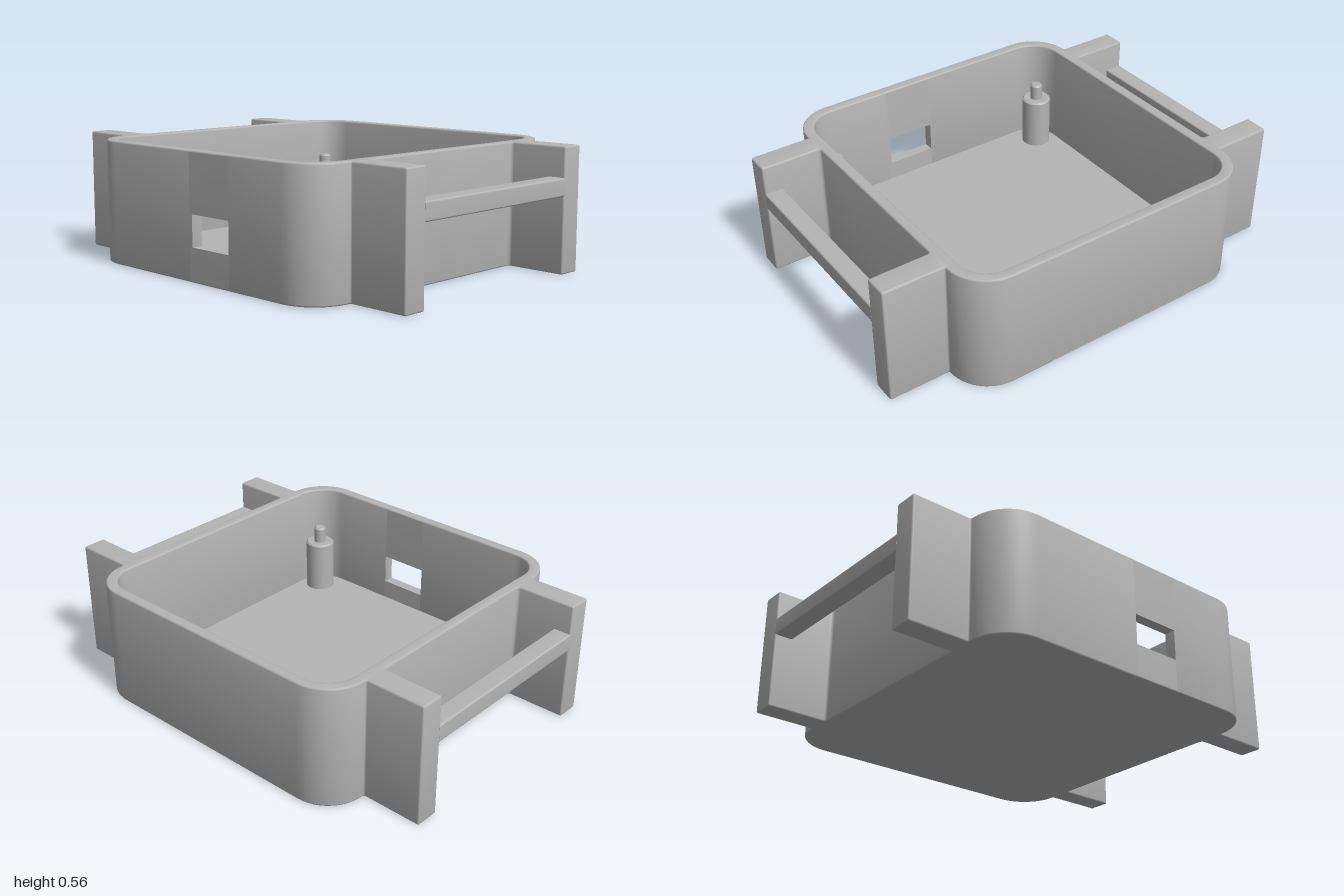
import * as THREE from 'three';
import { toCreasedNormals } from 'three/addons/utils/BufferGeometryUtils.js';

const H = 0.555, FLOOR = 0.06, E = 0.008; // height, floor thickness, edge rounding
const X = 0.76, Z = 0.72, IX = 0.71, IZ = 0.67; // outer and inner half sizes
const WIN = { z0: 0, z1: 0.23, y0: 0.15, y1: 0.29 }; // port opening

// Closed shape from [x, y, radius] points with right-angled, rounded corners
function roundedShape(points) {
  const shape = new THREE.Shape();
  const n = points.length;
  const toward = (p, q, d) => {
    const l = Math.hypot(q[0] - p[0], q[1] - p[1]);
    return [p[0] + (q[0] - p[0]) * d / l, p[1] + (q[1] - p[1]) * d / l];
  };
  points.forEach((p, i) => {
    const prev = points[(i + n - 1) % n], next = points[(i + 1) % n];
    const r = p[2] || 0;
    const a = toward(p, prev, r), b = toward(p, next, r);
    if (i === 0) shape.moveTo(...a); else shape.lineTo(...a);
    if (r) {
      const k = r * 0.4477;
      shape.bezierCurveTo(...toward(p, prev, k), ...toward(p, next, k), ...b);
    }
  });
  shape.closePath();
  return shape;
}

function extrude(points, depth, bevel = 0) {
  return new THREE.ExtrudeGeometry(roundedShape(points), {
    depth: depth - 2 * bevel, curveSegments: 12, bevelEnabled: bevel > 0,
    bevelThickness: bevel, bevelSize: bevel, bevelOffset: -bevel, bevelSegments: 3,
  }).translate(0, 0, bevel);
}

// Smooth the rounded corners, keep hard edges (scaled up for vertex matching)
function smooth(g) {
  return toCreasedNormals(g.scale(100, 100, 100), 0.7).scale(0.01, 0.01, 0.01);
}

export function createModel() {
  const model = new THREE.Group();
  const grey = new THREE.MeshStandardMaterial({ color: 0xb4b4b4 });
  grey.name = 'plainGrey';
  const add = (name, geometry, parent = model) => {
    const mesh = new THREE.Mesh(geometry, grey);
    mesh.name = name;
    parent.add(mesh);
    return mesh;
  };

  // Half outline through one pair of lugs, from the -x side round to the +x side
  const lugSide = [
    [-X, -Z, 0.185], [-0.565, -Z, 0.008], [-0.565, -1, 0.008], [-0.455, -1, 0.008], [-0.455, -Z, 0.015],
  ];
  const half = [...lugSide, ...lugSide.map(([x, y, r]) => [-x, y, r]).reverse()];
  const otherHalf = half.map(([x, y, r]) => [-x, -y, r]);

  // Case wall and lugs: one ring, open where the port is
  const ring = [
    [-X, -WIN.z1], ...half, ...otherHalf, [-X, -WIN.z0],
    [-IX, -WIN.z0], [-IX, IZ, 0.14], [IX, IZ, 0.14], [IX, -IZ, 0.14], [-IX, -IZ, 0.14], [-IX, -WIN.z1],
  ];
  add('caseWallAndLugs', smooth(extrude(ring, H, E).rotateX(-Math.PI / 2)));

  // Wall above and below the port
  const lap = 0.015;
  const fill = (name, y0, y1, r0, r1) => add(name, smooth(extrude(
    [[-X, y0, r0], [-IX, y0, 0], [-IX, y1, r1], [-X, y1, r1]],
    WIN.z1 - WIN.z0 + 2 * lap).translate(0, 0, WIN.z0 - lap)));
  fill('wallBelowPort', 0, WIN.y0, E, 0);
  fill('wallAbovePort', WIN.y1, H, 0, E);

  // Floor, let slightly into the wall
  const fx = IX + 0.02, fz = IZ + 0.02;
  add('floor', smooth(extrude(
    [[-fx, -fz, 0.16], [fx, -fz, 0.16], [fx, fz, 0.16], [-fx, fz, 0.16]], FLOOR).rotateX(-Math.PI / 2)));

  // Strap bars between the lugs
  for (const s of [1, -1]) {
    const bar = extrude([[-1, 0.34, E], [-0.915, 0.34, E], [-0.915, 0.42, E], [-1, 0.42, E]], 0.92)
      .translate(0, 0, -0.46).rotateY(s * Math.PI / 2);
    add(s > 0 ? 'frontStrapBar' : 'backStrapBar', smooth(bar));
  }

  // Corner posts with locating pins
  const profile = [[0.07, FLOOR - 0.01], [0.07, 0.303], [0.063, 0.31], [0.029, 0.31],
    [0.029, 0.38], [0.022, 0.388], [0, 0.388]].map(([r, y]) => new THREE.Vector2(r, y));
  const post = smooth(new THREE.LatheGeometry(profile, 32).toNonIndexed());
  for (const x of [-0.595, 0.59]) {
    for (const z of [-0.57, 0.577]) add('cornerPost', post).position.set(x, 0, z);
  }
  return model;
}
